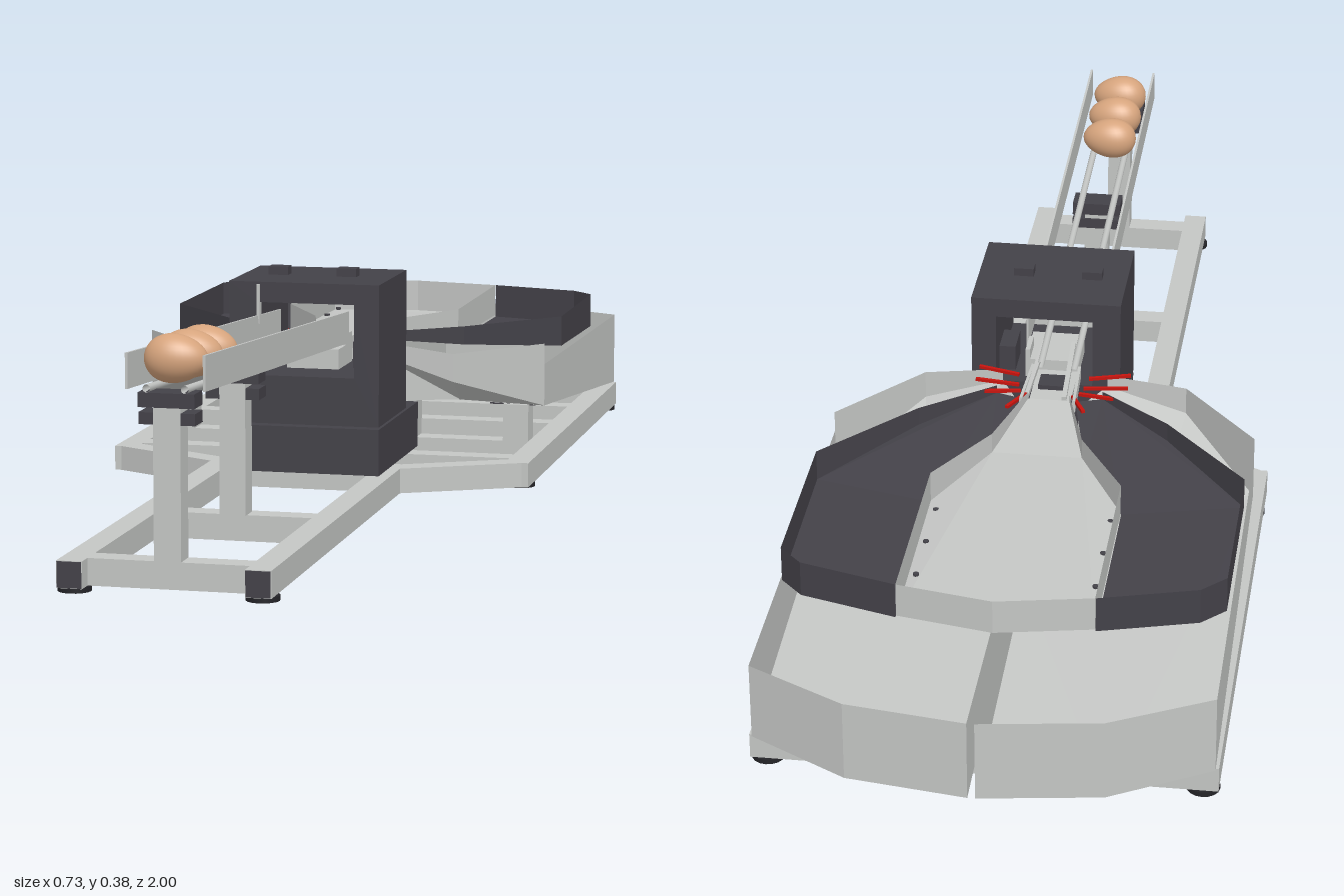
import * as THREE from 'three';

const mat = (name, color, side = THREE.FrontSide) => {
  const m = new THREE.MeshStandardMaterial({ color, side });
  m.name = name;
  return m;
};

export function createModel() {
  const root = new THREE.Group();
  root.name = 'eggSorter';
  const grey = mat('lightGrey', 0xc4c6c4, THREE.DoubleSide);
  const dark = mat('darkPlastic', 0x434148, THREE.DoubleSide);
  const black = mat('blackRubber', 0x242428);
  const red = mat('red', 0xc8140e);
  const shell = mat('eggShell', 0xd6a47d);

  const add = (name, geo, m, parent = root) => {
    const mesh = new THREE.Mesh(geo, m);
    mesh.name = name;
    parent.add(mesh);
    return mesh;
  };
  // Box from minimum and maximum corners
  const box = (name, m, x0, x1, y0, y1, z0, z1) => {
    const b = add(name, new THREE.BoxGeometry(x1 - x0, y1 - y0, z1 - z0), m);
    b.position.set((x0 + x1) / 2, (y0 + y1) / 2, (z0 + z1) / 2);
    return b;
  };
  // Rectangular bar between two points
  const beam = (name, m, a, b, w, h) => {
    const p = new THREE.Vector3(...a), q = new THREE.Vector3(...b);
    const bar = add(name, new THREE.BoxGeometry(w, h, p.distanceTo(q)), m);
    bar.position.copy(p).add(q).multiplyScalar(0.5);
    bar.lookAt(q);
    return bar;
  };
  // Sheet tray: points are [x, z, floorY, wallTopY]; a wallTopY of 0 leaves the edge to the next point open
  const tray = (name, m, pts, s = 1) => {
    const pos = [];
    const v = (p, y) => pos.push(p[0] * s, y, p[1]);
    const outline = pts.map(p => new THREE.Vector2(p[0], p[1]));
    for (const f of THREE.ShapeUtils.triangulateShape(outline, [])) {
      // wind upward, also after mirroring
      const [a, b, c] = f.map(i => pts[i]);
      const cross = ((b[0] - a[0]) * (c[1] - a[1]) - (b[1] - a[1]) * (c[0] - a[0])) * s;
      for (const p of cross < 0 ? [a, b, c] : [a, c, b]) v(p, p[2]);
    }
    pts.forEach((p, i) => {
      if (!p[3]) return;
      const q = pts[(i + 1) % pts.length], qTop = q[3] || p[3];
      v(p, p[2]); v(q, q[2]); v(q, qTop);
      v(p, p[2]); v(q, qTop); v(p, p[3]);
    });
    const g = new THREE.BufferGeometry();
    g.setAttribute('position', new THREE.Float32BufferAttribute(pos, 3));
    g.computeVertexNormals();
    return add(name, g, m);
  };

  // Base frame
  const Y0 = 0.008, Y1 = 0.05, YM = 0.029;
  for (const s of [-1, 1]) {
    const side = (n, m, x0, x1, ...r) => box(n, m, Math.min(s * x0, s * x1), Math.max(s * x0, s * x1), ...r);
    side('frontRail', grey, 0.125, 0.165, Y0, Y1, 0.09, 0.998);
    side('railEndCap', dark, 0.126, 0.164, Y0 + 0.001, Y1 - 0.001, 0.998, 1.0);
    side('rearRail', grey, 0.325, 0.365, Y0, Y1, -0.88, 0.03);
    beam('diagonalRail', grey, [s * 0.145, YM, 0.12], [s * 0.345, YM, 0.012], 0.04, 0.042);
    for (const [x, z] of [[0.145, 0.97], [0.34, -0.03], [0.34, -0.86]]) {
      const f = add('foot', new THREE.CylinderGeometry(0.026, 0.026, 0.008, 16), black);
      f.position.set(s * x, 0.004, z);
    }
    // Tray supports
    side('trayPost', grey, 0.28, 0.325, Y1, 0.115, -0.225, -0.18);
    side('innerTrayPost', grey, 0.11, 0.125, Y1, 0.2, -0.225, -0.18);
    side('trayRest', dark, 0.18, 0.23, Y1, 0.073, -0.61, -0.57);
  }
  for (const [z, w] of [[0.95, 0.125], [0.57, 0.125], [0.11, 0.125], [-0.03, 0.325], [-0.2, 0.325], [-0.4, 0.325], [-0.59, 0.325], [-0.86, 0.325]])
    box('crossRail', grey, -w, w, Y0, Y1, z - 0.02, z + 0.02);

  // Infeed ramp: posts, brackets, side plates and rods
  for (const [z, top] of [[0.95, 0.285], [0.578, 0.265]]) {
    box('rampPost', grey, -0.022, 0.02, Y1, top, z - 0.02, z + 0.02);
    box('rampBracket', dark, -0.045, 0.042, top - 0.03, top - 0.012, z - 0.024, z + 0.018);
    box('rampCradle', dark, -0.045, 0.042, top - 0.004, top + 0.018, z - 0.022, z + 0.022);
  }
  for (const x of [-0.061, 0.058]) {
    const shape = new THREE.Shape([[-0.975, 0.308], [-0.975, 0.362], [-0.06, 0.304], [-0.06, 0.25]]
      .map(p => new THREE.Vector2(...p)));
    const plate = add('rampSide', new THREE.ExtrudeGeometry(shape, { depth: 0.004, bevelEnabled: false }), grey);
    plate.rotation.y = Math.PI / 2;
    plate.position.x = x - 0.002;
  }
  for (const x of [-0.032, 0.027]) {
    const path = new THREE.LineCurve3(new THREE.Vector3(x, 0.309, 0.97), new THREE.Vector3(x, 0.248, 0.0));
    add('rampRod', new THREE.TubeGeometry(path, 1, 0.006, 10), grey);
  }

  // Eggs, slightly narrower at the left end
  const eggGeo = new THREE.SphereGeometry(1, 32, 20);
  const ep = eggGeo.attributes.position;
  for (let i = 0; i < ep.count; i++) {
    const x = ep.getX(i), k = 1 - 0.13 * x;
    ep.setXYZ(i, x * 0.049, ep.getY(i) * 0.037 * k, ep.getZ(i) * 0.034 * k);
  }
  eggGeo.computeVertexNormals();
  for (const [z, y] of [[0.902, 0.345], [0.818, 0.34], [0.733, 0.335]])
    add('egg', eggGeo, shell).position.set(-0.005, y, z);

  // Weighing housing with a passage from front to back
  const rect = (P, x0, x1, y0, y1) => new P([[x0, y0], [x1, y0], [x1, y1], [x0, y1]].map(p => new THREE.Vector2(...p)));
  const face = rect(THREE.Shape, -0.11, 0.146, 0.132, 0.37);
  face.holes.push(rect(THREE.Path, -0.062, 0.104, 0.213, 0.336));
  add('housing', new THREE.ExtrudeGeometry(face, { depth: 0.21, bevelEnabled: false }), dark);
  box('housingBase', dark, -0.11, 0.146, 0.05, 0.128, -0.095, 0.21);
  for (const x of [-0.05, 0.068]) box('topKnob', dark, x - 0.017, x + 0.017, 0.37, 0.384, 0.09, 0.115);

  // Mechanism inside the passage
  box('servo', dark, 0.076, 0.104, 0.213, 0.258, 0.04, 0.1);
  box('weighBlock', grey, -0.034, 0.056, 0.213, 0.247, 0.02, 0.12);
  box('gateArm', grey, 0.048, 0.056, 0.235, 0.265, 0.02, 0.07);
  box('gateRod', grey, -0.062, -0.057, 0.3, 0.366, 0.2, 0.214);
  for (const x of [-0.02, 0.03]) beam('exitFinger', grey, [x, 0.25, 0.08], [x * 1.3, 0.24, -0.1], 0.008, 0.008);
  box('exitChute', grey, -0.035, 0.035, 0.222, 0.228, -0.11, 0.02);
  box('exitBlock', dark, -0.025, 0.025, 0.228, 0.236, -0.05, -0.01);

  // Lower trays: steep funnel leading to a sloping collecting floor
  for (const s of [-1, 1]) {
    tray('lowerFunnel', grey, [
      [0.05, -0.1, 0.225, 0], [0.09, -0.015, 0.222, 0.243], [0.225, -0.012, 0.178, 0.226],
      [0.355, -0.17, 0.117, 0], [0.2, -0.2, 0.117, 0.125]], s).geometry;
    tray('lowerTray', grey, [
      [0.2, -0.2, 0.116, 0], [0.355, -0.17, 0.117, 0.19], [0.36, -0.885, 0.05, 0.18],
      [0.2, -0.97, 0.045, 0.18], [0.006, -0.998, 0.045, 0.18], [0.006, -0.45, 0.093, 0.18]], s);
    box('outletSlot', dark, s * 0.29 - 0.027, s * 0.29 + 0.027, 0.054, 0.06, -0.88, -0.845);
    box('outletSlot', dark, s * 0.085 - 0.022, s * 0.085 + 0.022, 0.056, 0.062, -0.88, -0.868);
    box('sideSlot', dark, s * 0.31 - 0.025, s * 0.31 + 0.025, 0.113, 0.119, -0.235, -0.19);

    // Dark side trays
    tray('sideTray', dark, [
      [0.045, -0.1, 0.236, 0], [0.09, -0.085, 0.236, 0.25], [0.21, -0.18, 0.218, 0.25],
      [0.353, -0.345, 0.197, 0.25], [0.353, -0.65, 0.19, 0.25], [0.315, -0.69, 0.19, 0.25],
      [0.157, -0.735, 0.19, 0], [0.157, -0.39, 0.195, 0], [0.08, -0.25, 0.21, 0]], s);

    // Red guide prongs fanning out from the outlet
    for (const [x0, z0, x1, z1] of [[0.055, -0.065, 0.13, -0.06], [0.05, -0.085, 0.11, -0.1], [0.06, -0.03, 0.13, -0.015], [0.04, -0.095, 0.065, -0.15]])
      beam('guideProng', red, [s * x0, 0.243, z0], [s * x1, 0.246, z1], 0.006, 0.005);
    beam('guideWall', grey, [s * 0.04, 0.238, 0], [s * 0.045, 0.238, -0.12], 0.005, 0.022);

    // Screws along the rim of the middle tray
    for (const z of [-0.42, -0.52, -0.62, -0.71]) {
      const screw = add('screw', new THREE.CylinderGeometry(0.005, 0.005, 0.004, 8), dark);
      screw.position.set(s * 0.143, 0.199, z);
    }
  }

  // Middle tray
  const half = [[0.035, -0.1, 0.237, 0.25], [0.075, -0.25, 0.215, 0.25], [0.156, -0.39, 0.198, 0.25], [0.156, -0.735, 0.193, 0.25]];
  const mirrored = half.map(([x, ...r]) => [-x, ...r]).reverse();
  mirrored[mirrored.length - 1][3] = 0;
  tray('middleTray', grey, [...half, [0, -0.765, 0.193, 0.25], ...mirrored]);

  return root;
}
